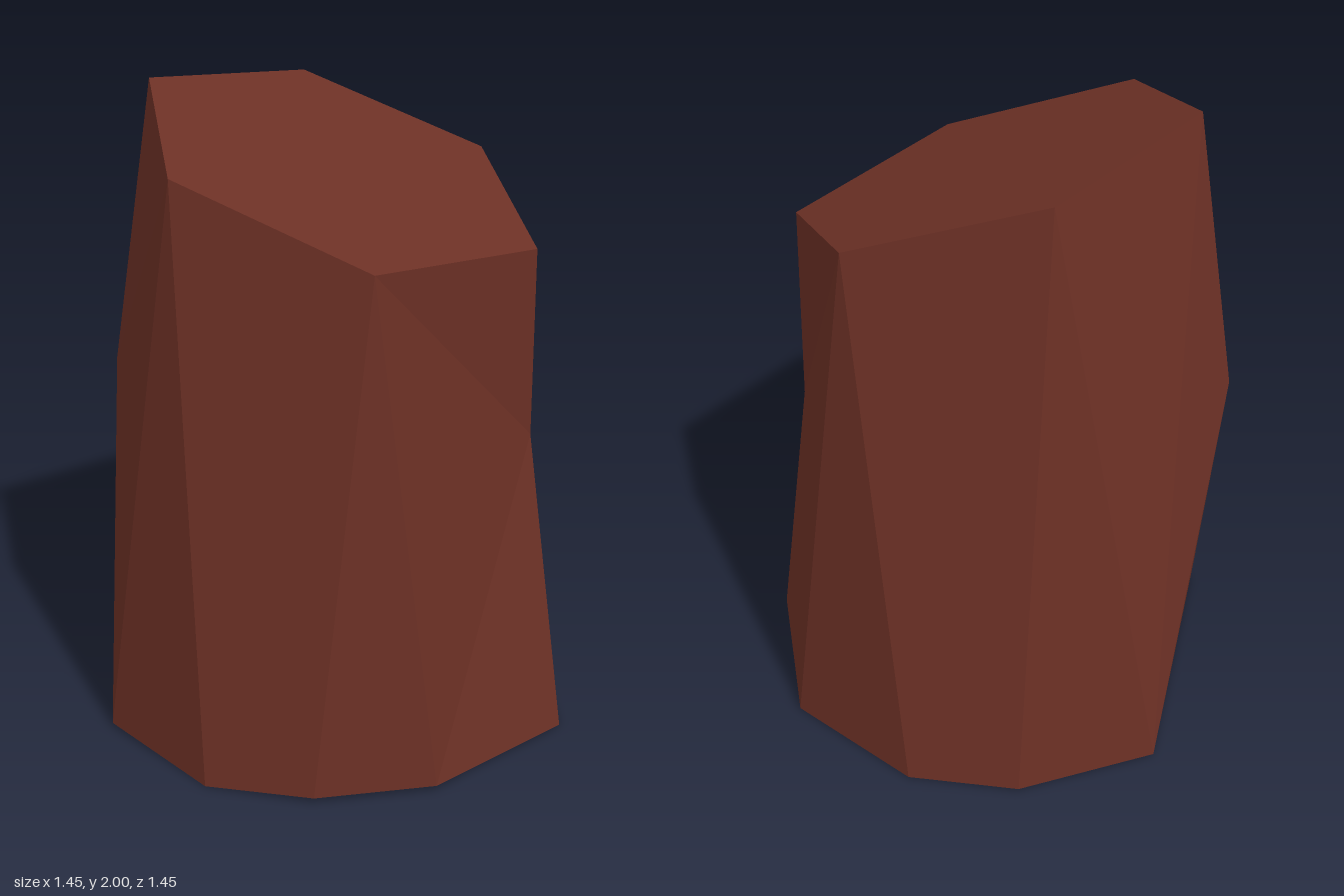
import * as THREE from 'three';

// Rings run from the model's left side round the front to its right and back
const base = [
  [0.72, 0, -0.19], [0.59, 0.02, 0.36], [0.32, 0.02, 0.62], [-0.01, 0, 0.72], [-0.47, 0.01, 0.6],
  [-0.73, 0.01, -0.28], [-0.43, 0.01, -0.62], [-0.1, 0, -0.73], [0.37, 0, -0.63],
];
const top = [
  [0.575, 1.56, -0.19], [0.42, 1.62, 0.46], [-0.16, 1.84, 0.615],
  [-0.575, 2, 0.17], [-0.425, 1.94, -0.44], [0.15, 1.73, -0.6],
];
// Two knuckles half-way up the trunk
const dent = [0.55, 0.95, -0.24];
const bulge = [-0.69, 1.1, 0.24];

function facets(name, triangles, material) {
  const geometry = new THREE.BufferGeometry();
  geometry.setAttribute('position', new THREE.Float32BufferAttribute(triangles.flat(2), 3));
  geometry.computeVertexNormals();
  const mesh = new THREE.Mesh(geometry, material);
  mesh.name = name;
  return mesh;
}

// Triangle fan over a ring
function cap(ring, up) {
  const out = [];
  for (let i = 1; i < ring.length - 1; i++) {
    out.push(up ? [ring[0], ring[i + 1], ring[i]] : [ring[0], ring[i], ring[i + 1]]);
  }
  return out;
}

export function createModel() {
  const group = new THREE.Group();
  group.name = 'stump';
  const bark = new THREE.MeshStandardMaterial({ color: 0x6c3025 });
  bark.name = 'reddish brown';

  const [B0, B1, B2, B3, B4, B5, B6, B7, B8] = base;
  const [T0, T1, T2, T3, T4, T5] = top;
  const sides = [
    // left side, round the dent
    [dent, T0, T1], [dent, T5, T0], [B1, dent, T1], [B1, B0, dent], [B0, B8, dent], [B8, T5, dent],
    // front
    [B2, B1, T1], [B2, T1, T2], [B3, B2, T2], [B4, B3, T2],
    // right side, round the bulge
    [B4, T2, bulge], [bulge, T2, T3], [B5, B4, bulge], [B5, bulge, T3], [B5, T3, T4],
    // back
    [B6, B5, T4], [B7, B6, T4], [B7, T4, T5], [B8, B7, T5],
  ];

  group.add(
    facets('trunkSides', sides, bark),
    facets('slantedTop', cap(top, true), bark),
    facets('underside', cap(base, false), bark),
  );
  return group;
}
